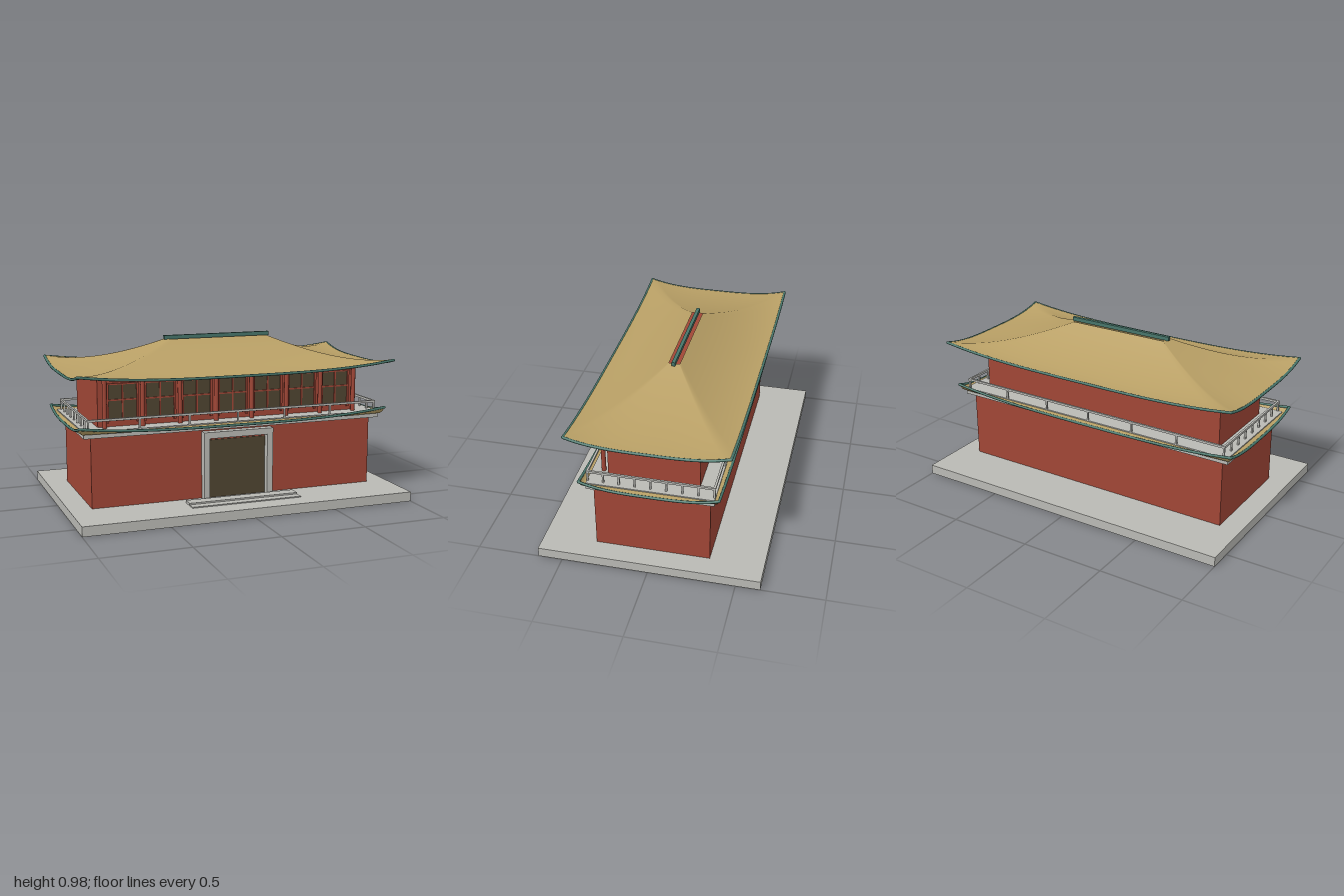
import * as THREE from 'three';

const mat = (name, color) => {
  const m = new THREE.MeshStandardMaterial({ color });
  m.name = name;
  return m;
};

export function createModel() {
  const red = mat('red wall', 0xa04636);
  const stone = mat('pale stone', 0xb9b9b4);
  const tile = mat('tan roof tile', 0xb89f65);
  const green = mat('green trim', 0x47756a);
  const dark = mat('dark opening', 0x4f4431);
  const root = new THREE.Group();

  const add = (name, geometry, material, parent = root) => {
    const mesh = new THREE.Mesh(geometry, material);
    mesh.name = name;
    parent.add(mesh);
    return mesh;
  };
  // Box given by its limits on each axis
  const box = (name, material, x0, x1, y0, y1, z0, z1, parent) => {
    const mesh = add(name, new THREE.BoxGeometry(x1 - x0, y1 - y0, z1 - z0), material, parent);
    mesh.position.set((x0 + x1) / 2, (y0 + y1) / 2, (z0 + z1) / 2);
    return mesh;
  };
  const group = (name) => {
    const g = new THREE.Group();
    g.name = name;
    root.add(g);
    return g;
  };

  // Hipped roof ring: concave slope from inner to outer rectangle, with lifted corners
  const CORNERS = [[-1, 1], [1, 1], [1, -1], [-1, -1]];
  const roof = (name, inner, outer, lift, power, rows, thickness, trimRadius) => {
    const g = group(name);
    const n = 24;
    const point = (side, u, t) => {
      const a = CORNERS[side], b = CORNERS[(side + 1) % 4];
      const hx = THREE.MathUtils.lerp(inner.x, outer.x, t);
      const hz = THREE.MathUtils.lerp(inner.z, outer.z, t);
      const s = Math.abs(2 * u - 1);
      const y = outer.y + (inner.y - outer.y) * (1 - t) ** power + lift * s ** 3.2 * t ** 3;
      return new THREE.Vector3(
        hx * THREE.MathUtils.lerp(a[0], b[0], u), y, hz * THREE.MathUtils.lerp(a[1], b[1], u));
    };
    const layer = (drop, flip) => {
      const pos = [], index = [], cols = 4 * n;
      for (let r = 0; r <= rows; r++)
        for (let c = 0; c < cols; c++) {
          const p = point(Math.floor(c / n), (c % n) / n, r / rows);
          pos.push(p.x, p.y - drop, p.z);
        }
      for (let r = 0; r < rows; r++)
        for (let c = 0; c < cols; c++) {
          const d = (c + 1) % cols;
          const i0 = r * cols + c, i1 = r * cols + d, o0 = i0 + cols, o1 = i1 + cols;
          if (flip) index.push(o0, i1, o1, o0, i0, i1);
          else index.push(o0, o1, i1, o0, i1, i0);
        }
      const geo = new THREE.BufferGeometry();
      geo.setAttribute('position', new THREE.Float32BufferAttribute(pos, 3));
      geo.setIndex(index);
      geo.computeVertexNormals();
      return geo;
    };
    add('roofTop', layer(0, false), tile, g);
    add('roofUnderside', layer(thickness, true), tile, g);
    // Trim along each eave
    for (let side = 0; side < 4; side++) {
      const pts = [];
      for (let i = 0; i <= 16; i++) {
        const p = point(side, i / 16, 1);
        p.y -= thickness / 2;
        pts.push(p);
      }
      add('eaveTrim', new THREE.TubeGeometry(new THREE.CatmullRomCurve3(pts), 32, trimRadius, 8), green, g);
    }
    for (const [sx, sz] of CORNERS) {
      const cap = add('eaveCorner', new THREE.SphereGeometry(trimRadius, 8, 6), green, g);
      cap.position.set(sx * outer.x, outer.y + lift - thickness / 2, sz * outer.z);
    }
  };

  // Platform and lower storey
  box('plinth', stone, -1, 1, 0, 0.057, -0.64, 0.64);
  box('lowerStorey', red, -0.87, 0.87, 0.057, 0.468, -0.33, 0.33);
  box('balconySlab', stone, -0.915, 0.915, 0.467, 0.507, -0.36, 0.36);
  box('upperStorey', red, -0.81, 0.81, 0.507, 0.785, -0.26, 0.26);

  // Entrance
  const entrance = group('entrance');
  box('doorPanel', dark, -0.18, 0.18, 0.057, 0.402, 0.33, 0.336, entrance);
  for (const s of [-1, 1])
    box('doorJamb', stone, s * 0.197 - 0.018, s * 0.197 + 0.018, 0.057, 0.418, 0.33, 0.375, entrance);
  box('doorLintel', stone, -0.215, 0.215, 0.418, 0.455, 0.33, 0.377, entrance);
  box('upperStep', stone, -0.335, 0.335, 0.057, 0.072, 0.395, 0.463, entrance);
  box('lowerStep', stone, -0.335, 0.335, 0.057, 0.063, 0.463, 0.515, entrance);

  // Window bays on the front of the upper storey
  const bays = group('windowBays');
  const bay = 0.222;
  for (let i = -3; i <= 3; i++) {
    const x = i * bay;
    box('windowPane', dark, x - 0.084, x + 0.084, 0.55, 0.752, 0.26, 0.266, bays);
    for (const s of [-1, 1])
      box('windowStile', red, x + s * 0.088 - 0.006, x + s * 0.088 + 0.006, 0.53, 0.755, 0.26, 0.275, bays);
    box('windowMullion', red, x - 0.004, x + 0.004, 0.55, 0.752, 0.26, 0.273, bays);
    for (const y of [0.545, 0.66, 0.751])
      box('windowRail', red, x - 0.09, x + 0.09, y - 0.004, y + 0.004, 0.26, 0.273, bays);
  }
  for (let i = 0; i < 8; i++) {
    const column = add('column', new THREE.CylinderGeometry(0.013, 0.013, 0.28, 12), red, bays);
    column.position.set((i - 3.5) * bay, 0.645, 0.294);
  }

  // Balcony railing
  const railing = group('railing');
  const rx = 0.888, rz = 0.355;
  const post = (x, z) => box('railPost', stone, x - 0.005, x + 0.005, 0.507, 0.565, z - 0.005, z + 0.005, railing);
  for (const s of [-1, 1]) {
    box('longRail', stone, -rx - 0.006, rx + 0.006, 0.56, 0.573, s * rz - 0.006, s * rz + 0.006, railing);
    box('endRail', stone, s * rx - 0.006, s * rx + 0.006, 0.56, 0.573, -rz, rz, railing);
    for (let i = 0; i <= 6; i++) post(-rx + (i * rx) / 3, s * rz);
    for (let i = 1; i < 8; i++) post(s * rx, -rz + (i * rz) / 4);
  }

  // Skirt roof, main roof and ridge
  roof('skirtRoof', { x: 0.905, z: 0.35, y: 0.502 }, { x: 0.945, z: 0.39, y: 0.496 }, 0.04, 1.2, 4, 0.01, 0.008);
  roof('mainRoof', { x: 0.31, z: 0.032, y: 0.96 }, { x: 0.963, z: 0.452, y: 0.79 }, 0.043, 1.65, 16, 0.01, 0.008);
  box('ridge', green, -0.335, 0.335, 0.957, 0.98, -0.01, 0.01);

  return root;
}
